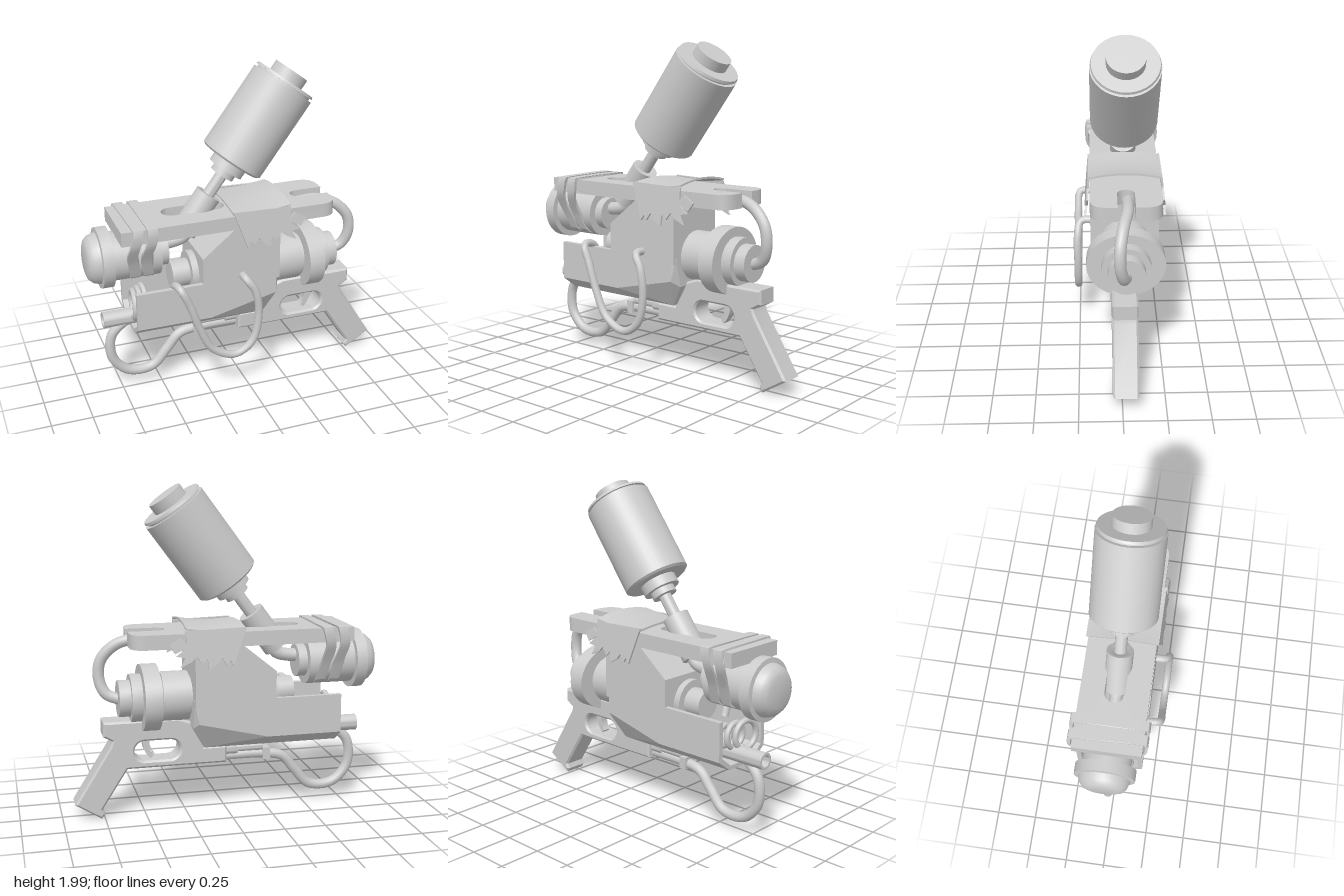
import * as THREE from 'three';
import { toCreasedNormals } from 'three/addons/utils/BufferGeometryUtils.js';
import { ConvexGeometry } from 'three/addons/geometries/ConvexGeometry.js';

const grey = new THREE.MeshStandardMaterial({ color: 0xcccccc, side: THREE.DoubleSide });
const V2 = (p) => new THREE.Vector2(p[0], p[1]);
const V3 = (p) => new THREE.Vector3(...p);

export function createModel() {
  const model = new THREE.Group();
  model.name = 'sprayGun';
  const core = new THREE.Group();
  core.name = 'assembly';
  core.position.z = -0.03;
  model.add(core);

  const add = (name, geometry) => {
    const mesh = new THREE.Mesh(geometry, grey);
    mesh.name = name;
    core.add(mesh);
    return mesh;
  };
  // Turned part: profile of [distance along axis, radius], starting at origin
  const turned = (name, profile, origin, dir) => {
    const pts = profile.map(([s, r]) => new THREE.Vector2(r, s));
    const mesh = add(name, toCreasedNormals(new THREE.LatheGeometry(pts, 32), 0.6));
    mesh.position.set(...origin);
    mesh.quaternion.setFromUnitVectors(new THREE.Vector3(0, 1, 0), V3(dir).normalize());
    return mesh;
  };
  const hose = (name, points, radius) =>
    add(name, new THREE.TubeGeometry(new THREE.CatmullRomCurve3(points.map(V3)), 64, radius, 12));
  // Side profile in x and y, extruded symmetrically across z
  const across = (name, shape, width, bevel = 0) => {
    const g = new THREE.ExtrudeGeometry(shape, {
      depth: width - 2 * bevel, bevelEnabled: bevel > 0, bevelSize: bevel, bevelThickness: bevel,
      bevelOffset: -bevel, bevelSegments: 1, curveSegments: 12,
    });
    g.translate(0, 0, -width / 2 + bevel);
    return add(name, toCreasedNormals(g, 0.5));
  };
  // Cross-section in z and y, extruded along +x
  const along = (shape, x0, length) => {
    const g = new THREE.ExtrudeGeometry(shape, { depth: length, bevelEnabled: false });
    return g.rotateY(Math.PI / 2).translate(x0, 0, 0);
  };
  const poly = (pts) => new THREE.Shape(pts.map(V2));

  // Tilted tank, its neck and socket
  const tilt = [0.595, 0.804, 0];
  turned('tank', [[0, 0], [0, 0.185], [0.012, 0.2], [0.545, 0.2], [0.545, 0.18], [0.56, 0.18],
    [0.56, 0.195], [0.575, 0.19], [0.575, 0.11], [0.638, 0.11], [0.638, 0]], [-0.02, 1.42, 0], tilt);
  turned('tankNeck', [[-0.3, 0], [-0.3, 0.037], [-0.1, 0.037], [-0.1, 0.075], [-0.06, 0.075],
    [-0.06, 0.11], [0.01, 0.11], [0.01, 0]], [-0.02, 1.42, 0], tilt);
  turned('tankSocket', [[-0.51, 0], [-0.51, 0.08], [-0.24, 0.08], [-0.24, 0.045], [-0.27, 0]],
    [-0.02, 1.42, 0], tilt);
  hose('elbowPipe', [[-0.48, 0.95, 0], [-0.4, 0.955, 0], [-0.33, 0.975, 0], [-0.27, 1.05, 0]], 0.04);

  // Top plate with a closed slot and an open notch at its rounded end
  const plate = new THREE.Shape();
  plate.moveTo(-0.755, -0.205).lineTo(0.5, -0.205)
    .quadraticCurveTo(0.597, -0.205, 0.597, -0.1).lineTo(0.597, -0.05).lineTo(0.42, -0.05)
    .absarc(0.42, 0, 0.05, -Math.PI / 2, Math.PI / 2, true)
    .lineTo(0.597, 0.05).lineTo(0.597, 0.1)
    .quadraticCurveTo(0.597, 0.205, 0.5, 0.205).lineTo(-0.755, 0.205);
  const slot = new THREE.Path();
  slot.absarc(-0.4, 0, 0.06, Math.PI / 2, Math.PI * 1.5, false)
    .absarc(-0.13, 0, 0.06, -Math.PI / 2, Math.PI / 2, false);
  plate.holes.push(slot);
  const plateGeo = new THREE.ExtrudeGeometry(plate, { depth: 0.087, bevelEnabled: false });
  add('topPlate', toCreasedNormals(plateGeo.rotateX(-Math.PI / 2).translate(0, 1.06, 0), 0.5));

  // Domed canister under the plate
  turned('canister', [[-0.935, 0], [-0.935, 0.09], [-0.925, 0.12], [-0.9, 0.143], [-0.86, 0.155],
    [-0.857, 0.183], [-0.79, 0.183], [-0.79, 0.148], [-0.5, 0.148], [-0.5, 0.1], [-0.445, 0.1],
    [-0.445, 0]], [0, 0.918, 0], [1, 0, 0]);

  // Two crooked straps around plate and canister
  const loop = new THREE.CatmullRomCurve3([[-0.225, 1.157, 0], [0.225, 1.157, 0], [0.23, 1.05, 0],
    [0.17, 0.93, 0], [0.12, 0.81, 0], [0, 0.768, 0], [-0.12, 0.81, 0], [-0.17, 0.93, 0],
    [-0.23, 1.05, 0]].map(V3), true, 'catmullrom', 0.12).getSpacedPoints(48).slice(0, 48);
  [-0.705, -0.62].forEach((x, i) => {
    const strap = poly(loop.map((p) => [p.x, p.y]));
    strap.holes.push(new THREE.Path(loop.map((p) => new THREE.Vector2(p.x * 0.92, 0.96 + (p.y - 0.96) * 0.93))));
    const g = along(strap, x, 0.06);
    const pos = g.attributes.position;
    for (let k = 0; k < pos.count; k++) {
      pos.setX(k, pos.getX(k) + 0.016 * Math.sin(pos.getY(k) * 17 + i * 0.6 + pos.getZ(k) * 3));
    }
    add('strap', toCreasedNormals(g, 0.4));
  });

  // Housing: open trough, tapered lower hull and upper block
  const trough = poly([[-0.205, 0.735], [-0.205, 0.5], [-0.11, 0.43], [0.11, 0.43], [0.205, 0.5],
    [0.205, 0.735], [0.175, 0.735], [0.175, 0.515], [0.1, 0.455], [-0.1, 0.455], [-0.175, 0.515],
    [-0.175, 0.735]]);
  add('trough', along(trough, -0.68, 0.46));
  const hull = [];
  for (const s of [-1, 1]) {
    hull.push([-0.22, 0.735, 0.205 * s], [-0.22, 0.5, 0.205 * s], [-0.22, 0.43, 0.11 * s],
      [0.2, 0.735, 0.205 * s], [0.2, 0.6, 0.205 * s], [0.225, 0.735, 0.18 * s],
      [0.225, 0.56, 0.14 * s], [0.15, 0.43, 0.11 * s]);
  }
  add('lowerHull', new ConvexGeometry(hull.map(V3)));
  across('upperBlock', poly([[-0.27, 0.7], [0.222, 0.7], [0.222, 1.062], [-0.07, 1.062],
    [-0.27, 0.9]]), 0.41);
  turned('innerCylinder', [[-0.42, 0], [-0.42, 0.085], [-0.31, 0.085], [-0.31, 0.13], [-0.2, 0.13],
    [-0.2, 0]], [0, 0.736, 0], [1, 0, 0]);
  turned('barrel', [[-0.85, 0.035], [-0.85, 0.05], [-0.2, 0.05], [-0.2, 0], [-0.8, 0],
    [-0.8, 0.035], [-0.85, 0.035]], [0, 0.497, 0], [1, 0, 0]);
  for (let i = 0; i < 3; i++) {
    const coil = add('coil', new THREE.TorusGeometry(0.085 - i * 0.012, 0.018, 10, 24));
    coil.rotation.y = Math.PI / 2 + 0.1 * (i - 1);
    coil.position.set(-0.665 + i * 0.04, 0.6, 0.05 - i * 0.05);
  }

  // Stepped rear chamber with a wide flange
  turned('rearChamber', [[0.2, 0], [0.2, 0.125], [0.235, 0.125], [0.235, 0.15], [0.4, 0.15],
    [0.4, 0.135], [0.43, 0.135], [0.53, 0.145], [0.585, 0.145], [0.585, 0.11], [0.655, 0.11],
    [0.655, 0]], [0, 0.736, 0], [1, 0, 0]);
  turned('flange', [[0.42, 0], [0.42, 0.2], [0.52, 0.2], [0.52, 0]], [0, 0.736, 0], [1, 0, 0]).scale.z = 1.15;

  // Hoses: rear bend, hanging side loop and lower loop
  hose('rearHose', [[0.4, 1.09, -0.01], [0.55, 1.095, -0.005], [0.66, 1.06, 0.02], [0.745, 0.97, 0.04],
    [0.76, 0.86, 0.04], [0.72, 0.765, 0.02], [0.62, 0.725, 0]], 0.034);
  hose('sideHose', [[-0.44, 0.64, 0.13], [-0.44, 0.745, 0.18], [-0.43, 0.755, 0.27], [-0.38, 0.65, 0.285],
    [-0.32, 0.48, 0.285], [-0.24, 0.33, 0.285], [-0.1, 0.265, 0.285], [0.01, 0.33, 0.285],
    [0.055, 0.5, 0.285], [0.035, 0.67, 0.285], [-0.015, 0.75, 0.265], [-0.02, 0.755, 0.17]], 0.024);
  hose('lowerHose', [[-0.64, 0.52, 0.03], [-0.71, 0.475, 0.01], [-0.8, 0.38, 0], [-0.8, 0.22, 0],
    [-0.7, 0.115, 0], [-0.55, 0.115, 0], [-0.45, 0.22, 0], [-0.37, 0.31, 0], [-0.26, 0.335, 0],
    [0.02, 0.34, 0]], 0.031);
  turned('hoseFitting', [[-0.24, 0], [-0.24, 0.03], [-0.075, 0.03], [-0.075, 0.042], [0.02, 0.042],
    [0.02, 0]], [0, 0.385, 0], [1, 0, 0]);
  const clamp = add('hoseClamp', new THREE.BoxGeometry(0.045, 0.075, 0.08));
  clamp.position.set(-0.26, 0.342, 0);

  // Grip frame with trigger opening
  const frame = poly([[0, 0.312], [0.61, 0.312], [0.765, 0.07], [0.75, 0.04], [0.77, 0.012],
    [0.928, 0.11], [0.71, 0.46], [0.7, 0.49], [0.752, 0.52], [0.752, 0.608], [0.3, 0.608],
    [0.22, 0.58], [0.14, 0.42], [0, 0.42]]);
  const guard = new THREE.Path();
  guard.absarc(0.35, 0.418, 0.062, Math.PI / 2, Math.PI * 1.5, false)
    .absarc(0.505, 0.418, 0.062, -Math.PI / 2, Math.PI / 2, false);
  frame.holes.push(guard);
  across('gripFrame', frame, 0.15, 0.012).position.z = 0.01;
  const trigger = new THREE.Shape();
  trigger.moveTo(0.46, 0.5).lineTo(0.515, 0.5).quadraticCurveTo(0.515, 0.4, 0.465, 0.358)
    .lineTo(0.445, 0.375).quadraticCurveTo(0.485, 0.42, 0.46, 0.5);
  across('trigger', trigger, 0.05).position.z = 0.01;

  // Torn cloth over the plate: sagging sheet and two ragged skirts
  const sheet = new THREE.BoxGeometry(0.36, 0.012, 0.43, 8, 1, 8);
  const sp = sheet.attributes.position;
  for (let k = 0; k < sp.count; k++) {
    const x = sp.getX(k), z = sp.getZ(k);
    sp.setY(k, sp.getY(k) + 1.155 + 0.6 * (x + 0.05) ** 2 * (1 - 8 * z * z) + 0.015 * (1 - (z / 0.215) ** 2));
  }
  add('clothTop', toCreasedNormals(sheet.translate(0.1, 0, 0), 0.5));
  const rags = [[-0.08, 0.01], [0.28, 0], [0.28, -0.07], [0.31, -0.04], [0.38, -0.08], [0.345, -0.13],
    [0.275, -0.095], [0.34, -0.145], [0.285, -0.155], [0.315, -0.21], [0.25, -0.18], [0.22, -0.15],
    [0.185, -0.195], [0.155, -0.165], [0.15, -0.23], [0.095, -0.2], [0.07, -0.165], [0.04, -0.21],
    [0.02, -0.18], [0, -0.215]];
  for (const s of [-1, 1]) {
    const skirt = across('clothSkirt', poly(rags), 0.012);
    skirt.position.set(0, 1.165, s * 0.212);
    skirt.rotation.x = -s * 0.09;
  }
  return model;
}
